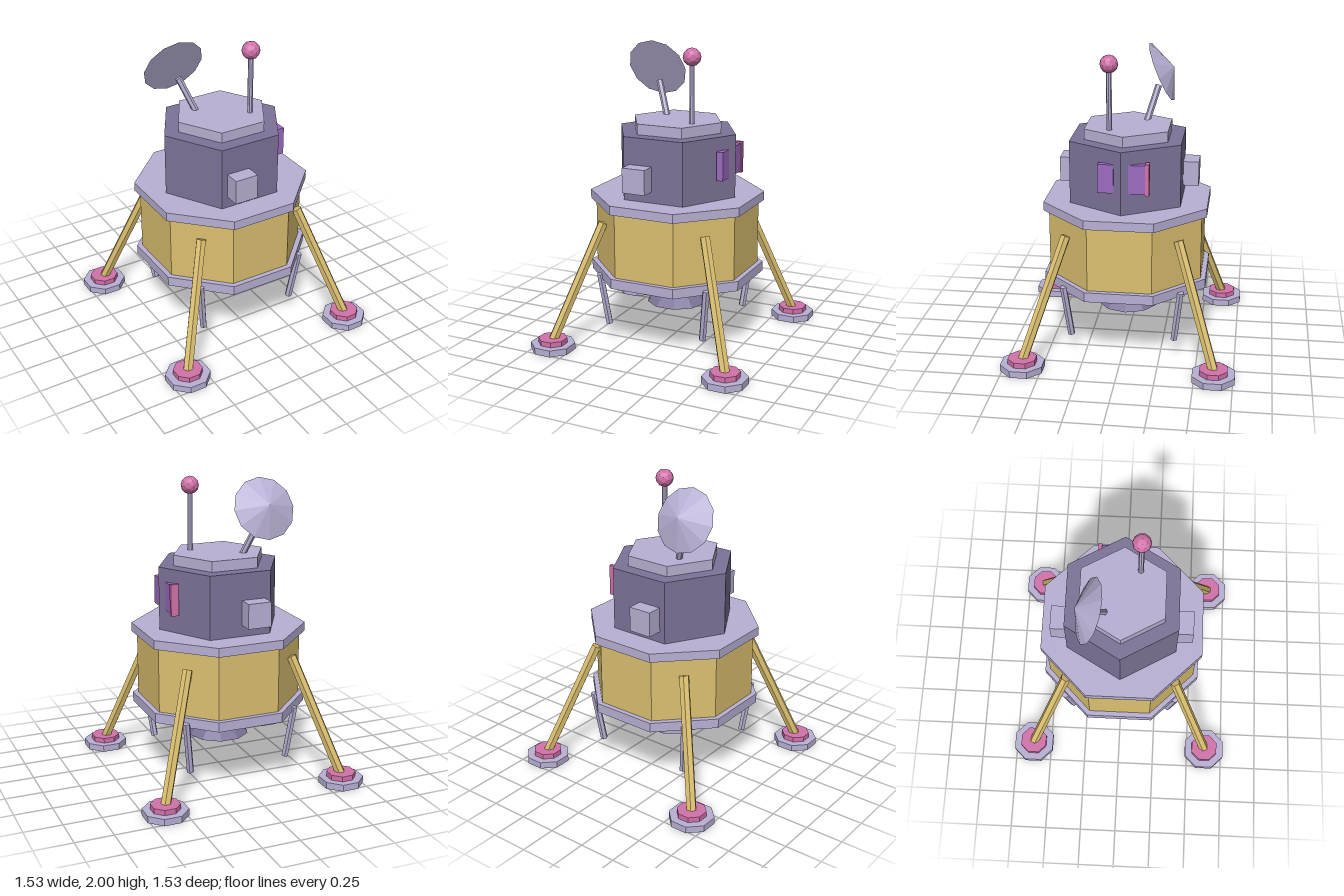
import * as THREE from 'three';

const flat = (name, color) => {
  const m = new THREE.MeshStandardMaterial({ color, flatShading: true });
  m.name = name;
  return m;
};

export function createModel() {
  const lander = new THREE.Group();
  lander.name = 'lander';

  const lavender = flat('pale lavender', 0xb8b0d4);
  const violet = flat('dusky violet', 0x7d7398);
  const gold = flat('gold foil', 0xdcc070);
  const pink = flat('pink', 0xd272aa);
  const purple = flat('window purple', 0x9c6abf);

  const add = (name, geometry, material, parent = lander) => {
    const mesh = new THREE.Mesh(geometry, material);
    mesh.name = name;
    parent.add(mesh);
    return mesh;
  };

  // Upright prism or cone between two heights
  const prism = (name, material, sides, rBottom, rTop, y0, y1, turn, parent) => {
    const g = new THREE.CylinderGeometry(rTop, rBottom, y1 - y0, sides);
    g.rotateY(turn);
    g.translate(0, (y0 + y1) / 2, 0);
    return add(name, g, material, parent);
  };

  // Rod between two points
  const UP = new THREE.Vector3(0, 1, 0);
  const rod = (name, material, from, to, radius, sides = 6, parent = lander) => {
    const a = new THREE.Vector3(...from), b = new THREE.Vector3(...to);
    const mesh = add(name, new THREE.CylinderGeometry(radius, radius, a.distanceTo(b), sides), material, parent);
    mesh.position.copy(a).add(b).multiplyScalar(0.5);
    mesh.quaternion.setFromUnitVectors(UP, b.sub(a).normalize());
    return mesh;
  };

  // Box given by its limits on each axis
  const block = (name, material, [x0, x1], [y0, y1], [z0, z1]) => {
    const mesh = add(name, new THREE.BoxGeometry(x1 - x0, y1 - y0, z1 - z0), material);
    mesh.position.set((x0 + x1) / 2, (y0 + y1) / 2, (z0 + z1) / 2);
    return mesh;
  };

  // Octagonal descent stage
  const oct = Math.PI / 8;
  prism('lowerDeck', lavender, 8, 0.583, 0.583, 0.46, 0.525, oct);
  prism('descentBody', gold, 8, 0.547, 0.547, 0.525, 0.96, oct);
  prism('upperDeck', lavender, 8, 0.583, 0.583, 0.96, 1.02, oct);

  // Engine
  prism('engineNeck', pink, 10, 0.07, 0.07, 0.435, 0.46, Math.PI / 2);
  prism('engineBell', violet, 10, 0.207, 0.02, 0.24, 0.435, Math.PI / 2);

  // Hexagonal cabin and roof
  prism('cabin', violet, 6, 0.42, 0.42, 1.02, 1.44, Math.PI / 2);
  prism('roof', lavender, 6, 0.316, 0.316, 1.44, 1.51, Math.PI / 2);

  // Equipment boxes front and back
  block('frontBox', lavender, [-0.17, -0.01], [1.095, 1.26], [0.33, 0.467]);
  block('backBox', lavender, [-0.17, -0.01], [1.095, 1.26], [-0.467, -0.33]);

  // Windows and hatch trim on the left side
  block('frontWindow', purple, [0.35, 0.395], [1.16, 1.35], [0.05, 0.153]);
  block('backWindow', purple, [0.35, 0.395], [1.16, 1.35], [-0.153, -0.045]);
  block('hatchTrim', pink, [0.35, 0.402], [1.15, 1.36], [-0.178, -0.153]);

  // Four legs with foot pads, and a short strut beside each
  for (const sx of [-1, 1]) {
    for (const sz of [-1, 1]) {
      const leg = new THREE.Group();
      leg.name = 'leg';
      lander.add(leg);
      rod('legStrut', gold, [sx * 0.368, 0.845, sz * 0.368], [sx * 0.622, 0.065, sz * 0.622], 0.034, 6, leg);
      const foot = new THREE.Group();
      foot.name = 'foot';
      foot.position.set(sx * 0.625, 0, sz * 0.625);
      leg.add(foot);
      prism('footPad', lavender, 8, 0.149, 0.149, 0, 0.045, oct, foot);
      prism('ankle', pink, 8, 0.097, 0.097, 0.045, 0.08, oct, foot);
      rod('shortStrut', lavender, [sx * 0.387, 0.49, sz * 0.387], [sx * 0.345, 0.132, sz * 0.345], 0.024, 6, leg);
    }
  }

  // Mast with ball
  rod('mast', lavender, [0.155, 1.5, 0.108], [0.155, 1.92, 0.108], 0.018, 8);
  add('mastBall', new THREE.IcosahedronGeometry(0.06, 1), pink).position.set(0.155, 1.941, 0.108);

  // Tilted dish and its arm
  rod('dishArm', lavender, [-0.128, 1.5, -0.108], [-0.215, 1.725, -0.175], 0.022);
  const dishGeometry = new THREE.ConeGeometry(0.21, 0.09, 12);
  dishGeometry.translate(0, 0.045, 0);
  const dish = add('dish', dishGeometry, lavender);
  dish.position.set(-0.24, 1.809, -0.194);
  dish.quaternion.setFromUnitVectors(UP, new THREE.Vector3(0, 0.41, -0.912).normalize());

  return lander;
}
